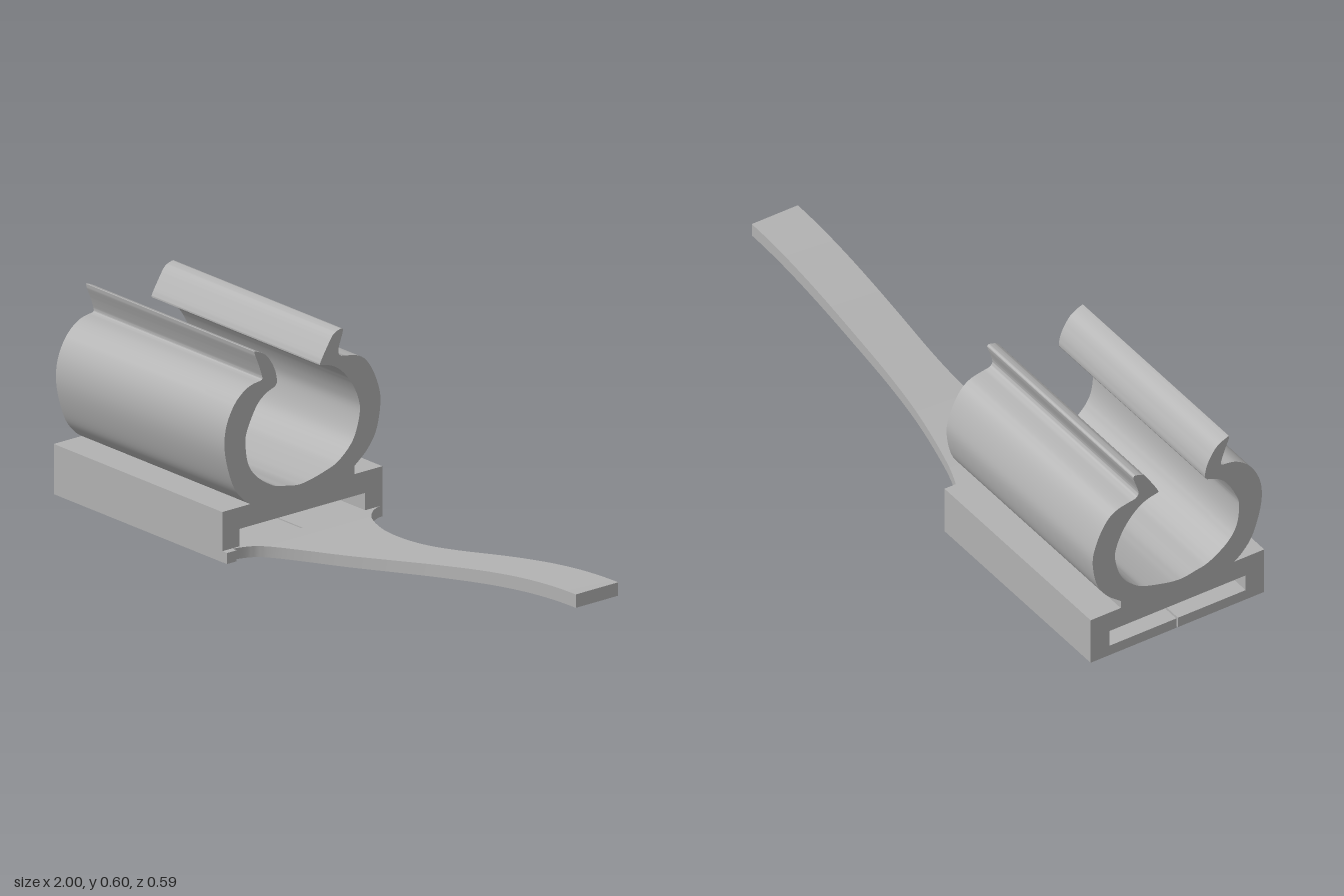
import * as THREE from 'three';
import { toCreasedNormals } from 'three/addons/utils/BufferGeometryUtils.js';

const CLIP_END = -0.265; // x where the clip stops and the tongue begins
const v2 = (list) => list.map(([z, y]) => new THREE.Vector2(z, y));

// Clip cross-section in (z, y): slotted base with two springy jaws
function clipProfile() {
  const s = new THREE.Shape();
  s.moveTo(-0.003, 0);
  s.lineTo(-0.293, 0);
  s.lineTo(-0.293, 0.15);
  s.lineTo(-0.191, 0.15);
  s.lineTo(-0.191, 0.175);
  // back jaw, outside
  s.splineThru(v2([[-0.238, 0.214], [-0.271, 0.265], [-0.286, 0.343], [-0.277, 0.4],
    [-0.247, 0.464], [-0.208, 0.5], [-0.142, 0.515]]));
  // back lip
  s.splineThru(v2([[-0.132, 0.525], [-0.133, 0.543], [-0.147, 0.584], [-0.147, 0.595], [-0.137, 0.596],
    [-0.113, 0.586], [-0.092, 0.557], [-0.067, 0.516], [-0.064, 0.505]]));
  // inside of the ring, back to front
  s.splineThru(v2([[-0.104, 0.495], [-0.14, 0.473], [-0.176, 0.432], [-0.203, 0.379], [-0.21, 0.329],
    [-0.187, 0.257], [-0.14, 0.209], [-0.094, 0.188], [0, 0.167], [0.065, 0.175], [0.11, 0.187],
    [0.169, 0.227], [0.201, 0.275], [0.21, 0.343], [0.199, 0.383], [0.169, 0.438], [0.137, 0.466],
    [0.102, 0.48]]));
  // front lip
  s.splineThru(v2([[0.094, 0.495], [0.104, 0.536], [0.133, 0.58], [0.169, 0.6], [0.176, 0.596],
    [0.16, 0.555], [0.148, 0.518], [0.153, 0.51]]));
  // front jaw, outside
  s.splineThru(v2([[0.199, 0.501], [0.244, 0.468], [0.276, 0.414], [0.287, 0.355], [0.279, 0.29],
    [0.253, 0.214], [0.219, 0.17], [0.192, 0.15]]));
  s.lineTo(0.295, 0.15);
  s.lineTo(0.295, 0);
  s.lineTo(0.003, 0);
  // hairline slit in the floor, opening into the strap slot
  s.lineTo(0.003, 0.033);
  s.lineTo(0.232, 0.033);
  s.lineTo(0.232, 0.085);
  s.lineTo(-0.23, 0.085);
  s.lineTo(-0.23, 0.033);
  s.lineTo(-0.003, 0.033);
  s.closePath();
  return s;
}

// Tongue plan: x, back edge z, front edge z
const tongueStations = [
  [-0.268, -0.293, 0.293], [-0.26, -0.268, 0.25], [-0.24, -0.235, 0.2], [-0.2, -0.2, 0.165],
  [-0.1, -0.156, 0.122], [0, -0.13, 0.097], [0.15, -0.105, 0.073], [0.3, -0.095, 0.063],
  [0.5, -0.094, 0.062], [0.75, -0.094, 0.062], [1, -0.094, 0.062],
];

function tongueGeometry() {
  const plan = new THREE.CatmullRomCurve3(tongueStations.map((p) => new THREE.Vector3(...p)));
  const geo = new THREE.BoxGeometry(1, 1, 1, 60, 1, 1);
  const pos = geo.attributes.position;
  for (let i = 0; i < pos.count; i++) {
    const p = plan.getPoint(pos.getX(i) + 0.5);
    const rise = THREE.MathUtils.smoothstep(p.x, -0.25, 1);
    const thickness = 0.033 + 0.007 * rise;
    pos.setXYZ(i, p.x, 0.16 * rise + (pos.getY(i) > 0 ? thickness : 0), pos.getZ(i) < 0 ? p.y : p.z);
  }
  return toCreasedNormals(geo, 0.6);
}

export function createModel() {
  const model = new THREE.Group();
  model.name = 'springClip';
  const plastic = new THREE.MeshStandardMaterial({ color: 0xb2b2b2 });
  plastic.name = 'greyPlastic';
  const add = (name, geo) => {
    const mesh = new THREE.Mesh(geo, plastic);
    mesh.name = name;
    model.add(mesh);
    return mesh;
  };

  // Clip body, extruded along x
  const body = new THREE.ExtrudeGeometry(clipProfile(), {
    depth: 1 + CLIP_END, bevelEnabled: false, curveSegments: 5,
  });
  body.rotateY(-Math.PI / 2);
  body.translate(CLIP_END, 0, 0);
  add('clipBody', toCreasedNormals(body, 0.6));

  // Curved tongue
  add('tongue', tongueGeometry());

  // Small nib on the front corner of the base
  const nib = new THREE.BoxGeometry(0.02, 0.033, 0.035);
  nib.translate(CLIP_END + 0.01, 0.0165, 0.2765);
  add('cornerNib', nib);

  return model;
}
